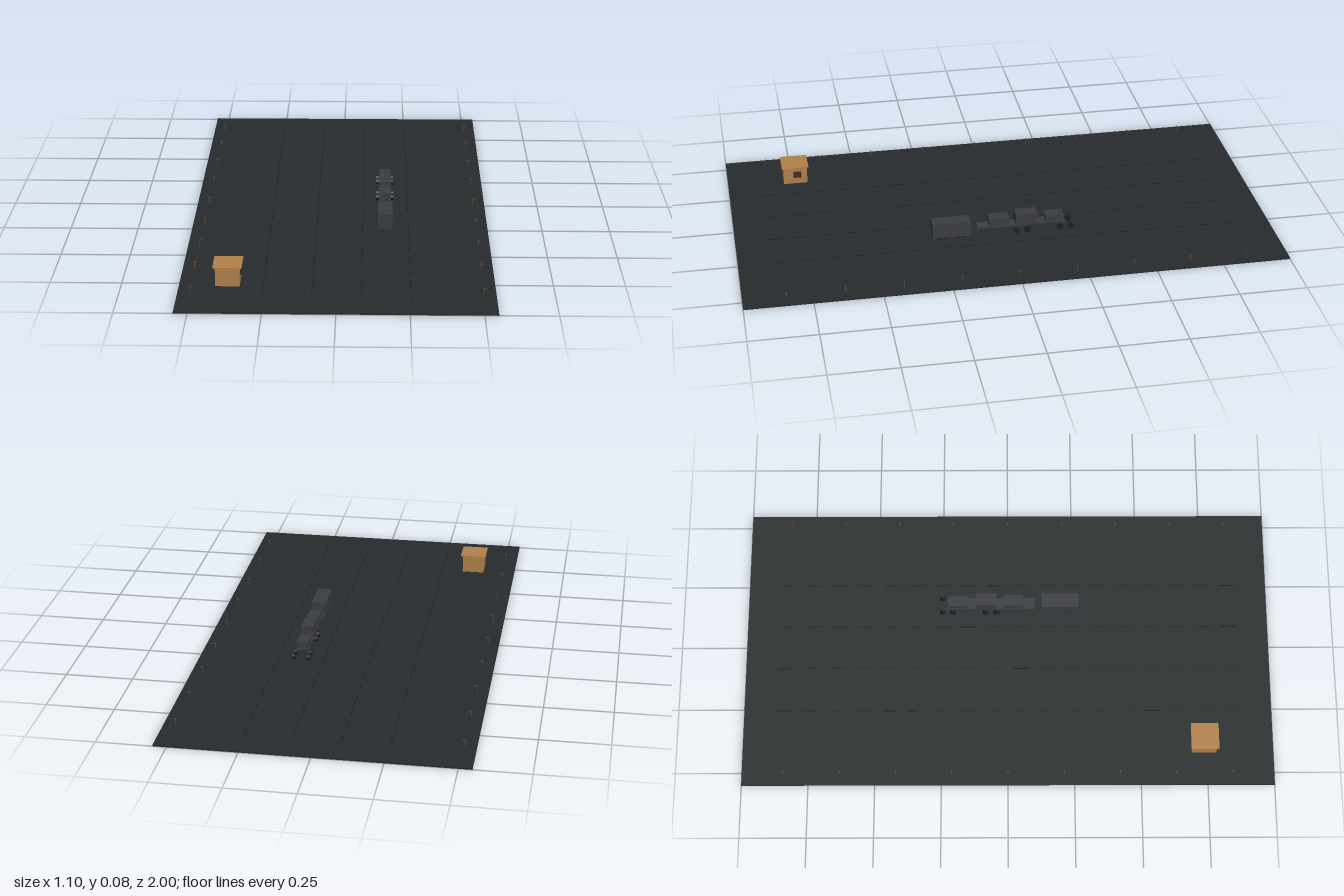
import * as THREE from 'three';

export function createModel() {
  const model = new THREE.Group();
  const mat = (color) => new THREE.MeshStandardMaterial({ color });
  const asphalt = mat(0x272b2d), marking = mat(0x1c1f21), wood = mat(0xb08049), darkWood = mat(0x6b4a28);
  const steel = mat(0x3a3c42), rubber = mat(0x1d1d20), glass = mat(0x3a3026);

  const add = (parent, name, geometry, material, x, y, z) => {
    const mesh = new THREE.Mesh(geometry, material);
    mesh.name = name;
    mesh.position.set(x, y, z);
    parent.add(mesh);
    return mesh;
  };
  // Box given by its low and high limits on each axis
  const box = (parent, name, material, [x0, x1], [y0, y1], [z0, z1]) =>
    add(parent, name, new THREE.BoxGeometry(x1 - x0, y1 - y0, z1 - z0), material,
      (x0 + x1) / 2, (y0 + y1) / 2, (z0 + z1) / 2);
  const group = (name) => {
    const g = new THREE.Group();
    g.name = name;
    model.add(g);
    return g;
  };

  // Paved yard
  const top = 0.005;
  box(model, 'ground', asphalt, [-0.548, 0.548], [0, top], [-1, 1]);

  // Dashed lane markings
  const lanes = group('laneMarkings');
  for (const x of [-0.255, -0.085, 0.085, 0.255])
    for (let i = 0; i < 18; i++) {
      const z = -0.85 + i * 0.1;
      box(lanes, 'laneDash', marking, [x - 0.002, x + 0.002], [top, top + 0.0008], [z - 0.03, z + 0.03]);
    }

  // Lamp posts along both long edges
  const lamps = group('lampPosts');
  for (const x of [-0.506, 0.504])
    for (let i = -4; i <= 4; i++) {
      const z = i * 0.211;
      add(lamps, 'post', new THREE.CylinderGeometry(0.0013, 0.0013, 0.025, 8), darkWood, x, top + 0.0125, z);
      box(lamps, 'lampHead', darkWood, [x - 0.001, x + 0.008], [0.0285, 0.031], [z - 0.002, z + 0.002]);
    }

  // Wooden hut with flat overhanging roof
  const hut = group('hut');
  box(hut, 'hutWalls', wood, [-0.422, -0.337], [top, 0.074], [0.692, 0.784]);
  box(hut, 'hutRoof', wood, [-0.43, -0.329], [0.074, 0.077], [0.686, 0.79]);
  box(hut, 'hutWindow', glass, [-0.337, -0.333], [0.031, 0.056], [0.715, 0.745]);

  // Front box of the vehicle with its low wheels
  const vehicle = group('vehicle');
  box(vehicle, 'frontBody', steel, [0.141, 0.196], [0.012, 0.07], [0.13, 0.273]);

  const wheel = (x, y, z, r) => {
    const geometry = new THREE.CylinderGeometry(r, r, 0.011, 16).rotateZ(Math.PI / 2);
    add(vehicle, 'wheel', geometry, rubber, x, y, z);
  };
  for (const x of [0.147, 0.19])
    for (const z of [0.245, 0.225, 0.178, 0.158]) wheel(x, 0.0135, z, 0.0085);

  // Long frame carrying three equipment boxes
  box(vehicle, 'frame', steel, [0.145, 0.191], [0.033, 0.039], [-0.23, 0.103]);
  box(vehicle, 'loadFront', steel, [0.146, 0.191], [0.042, 0.072], [-0.016, 0.06]);
  box(vehicle, 'loadMiddle', steel, [0.145, 0.192], [0.038, 0.081], [-0.123, -0.042]);
  box(vehicle, 'loadRear', steel, [0.147, 0.19], [0.04, 0.065], [-0.225, -0.155]);
  for (const z of [0.045, 0])
    box(vehicle, 'loadFoot', steel, [0.15, 0.187], [0.038, 0.043], [z - 0.006, z + 0.006]);

  // Rear wheel pairs
  for (const z of [-0.043, -0.085, -0.211, -0.251]) {
    for (const x of [0.14, 0.196]) wheel(x, 0.018, z, 0.011);
  }
  return model;
}
